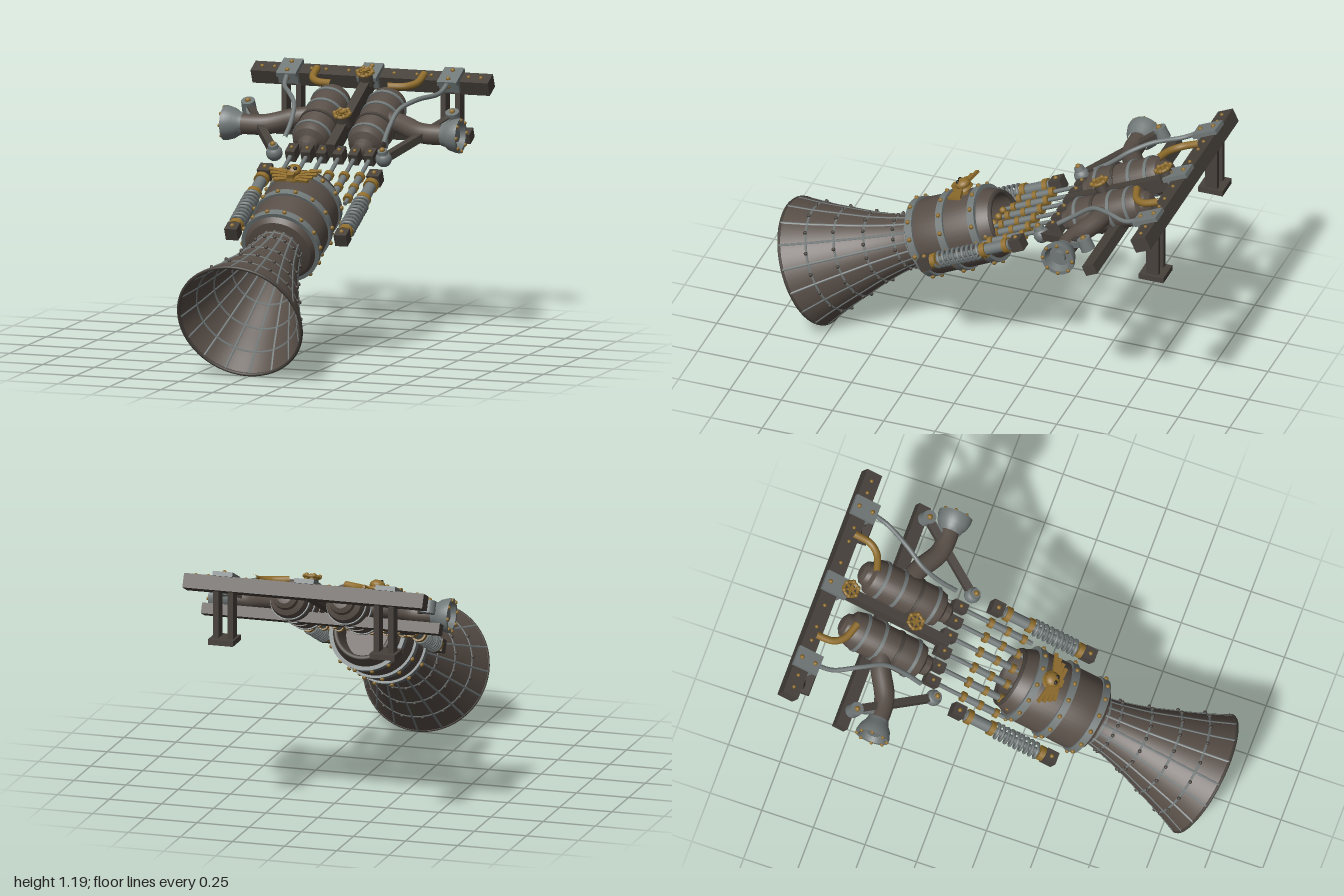
import * as THREE from 'three';
import { mergeGeometries, toCreasedNormals } from 'three/addons/utils/BufferGeometryUtils.js';

const paint = (name, color) => {
  const m = new THREE.MeshStandardMaterial({ color });
  m.name = name;
  return m;
};
const V = (x, y, z) => new THREE.Vector3(x, y, z);

export function createModel() {
  const hull = paint('hull brown', 0x584e47);
  const frame = paint('frame dark', 0x47413b);
  const steel = paint('steel', 0x717878);
  const gold = paint('brass', 0x8f6d2c);
  const black = paint('socket black', 0x24201d);

  const model = new THREE.Group();
  model.name = 'rocketEngine';
  // tilted frame: +z runs out of the bell along the engine axis, origin at the bell mouth
  const engine = new THREE.Group();
  engine.name = 'tiltedEngine';
  engine.position.set(0, 0.28, 0.875);
  engine.rotation.x = 0.433;
  model.add(engine);

  const add = (name, geo, mat, x = 0, y = 0, z = 0, parent = engine) => {
    const m = new THREE.Mesh(geo, mat);
    m.name = name;
    m.position.set(x, y, z);
    parent.add(m);
    return m;
  };
  const box = (name, mat, w, h, d, x, y, z, parent) => add(name, new THREE.BoxGeometry(w, h, d), mat, x, y, z, parent);
  // turned part along z from [radius, z] points
  const turned = (pts, seg = 48) => toCreasedNormals(
    new THREE.LatheGeometry(pts.map(p => new THREE.Vector2(...p)), seg).rotateX(Math.PI / 2), 0.5);
  const band = (name, mat, r, z0, z1, x = 0, y = 0, inner = r * 0.85) =>
    add(name, turned([[inner, z0], [r, z0], [r, z1], [inner, z1]]), mat, x, y, 0);
  const rod = (name, mat, r, x, y, z0, z1, seg = 16) =>
    add(name, new THREE.CylinderGeometry(r, r, z1 - z0, seg).rotateX(Math.PI / 2), mat, x, y, (z0 + z1) / 2);
  const upright = (name, mat, r0, r1, h, x, y, z) =>
    add(name, new THREE.CylinderGeometry(r1, r0, h, 20), mat, x, y, z);
  const pipe = (name, mat, r, pts, parent) =>
    add(name, new THREE.TubeGeometry(new THREE.CatmullRomCurve3(pts), 40, r, 12), mat, 0, 0, 0, parent);
  const beamBetween = (name, mat, a, b, w, h) => {
    const m = box(name, mat, w, h, a.distanceTo(b), 0, 0, 0);
    m.position.copy(a).lerp(b, 0.5);
    m.quaternion.setFromUnitVectors(V(0, 0, 1), b.clone().sub(a).normalize());
    return m;
  };
  const bolts = (name, mat, r, points) => add(name, mergeGeometries(
    points.map(p => new THREE.SphereGeometry(r, 8, 6).translate(p.x, p.y, p.z))), mat);
  const around = (n, r, z, x = 0, y = 0) => Array.from({ length: n }, (_, i) => {
    const a = (i + 0.5) / n * Math.PI * 2;
    return V(x + r * Math.sin(a), y + r * Math.cos(a), z);
  });

  // exhaust bell with wall thickness and a closed throat
  const flare = new THREE.CatmullRomCurve3([
    V(0, 0.106, -0.62), V(0, 0.112, -0.55), V(0, 0.15, -0.39), V(0, 0.198, -0.25), V(0, 0.245, -0.12), V(0, 0.295, 0)]);
  const wall = flare.getPoints(24);
  add('exhaustBell', turned([
    ...wall.map(p => [p.y + 0.004, p.z]),
    ...wall.slice().reverse().map(p => [p.y - 0.004, p.z]),
    [0.1, -0.72], [0, -0.72]], 64), hull);
  add('throatRing', new THREE.TorusGeometry(0.104, 0.012, 10, 48), steel, 0, 0, -0.56);
  add('bellRim', new THREE.TorusGeometry(0.294, 0.008, 8, 64), frame);
  const rib = new THREE.TubeGeometry(flare, 24, 0.0075, 6);
  for (let i = 0; i < 16; i++) add('bellRib', rib, steel).rotation.z = i / 16 * Math.PI * 2;
  for (const t of [0.26, 0.43, 0.62, 0.81]) {
    const p = flare.getPoint(t);
    add('bellHoop', new THREE.TorusGeometry(p.y, 0.0075, 6, 64), steel, 0, 0, p.z);
    bolts('bellBolts', frame, 0.009, around(16, p.y + 0.008, p.z));
  }

  // combustion barrel, open at the rear
  add('barrel', turned([[0, -0.9], [0.122, -0.9], [0.122, -1.03], [0.142, -1.03], [0.158, -0.99], [0.176, -0.93],
    [0.178, -0.66], [0.17, -0.61], [0.15, -0.585], [0.1, -0.575]]), hull);
  for (const [z, r] of [[-0.625, 0.186], [-0.79, 0.189], [-0.955, 0.182]]) {
    band('barrelBand', steel, r, z - 0.018, z + 0.018);
    bolts('barrelBolts', gold, 0.011, around(14, r + 0.002, z));
  }
  add('rearLip', new THREE.TorusGeometry(0.133, 0.012, 8, 48), frame, 0, 0, -1.03);

  // winged ornament on the barrel
  upright('ornamentStem', gold, 0.02, 0.02, 0.05, 0, 0.195, -0.9);
  add('ornamentPlate', new THREE.CylinderGeometry(0.045, 0.05, 0.012, 24), gold, 0, 0.208, -0.9);
  add('ornamentHead', new THREE.SphereGeometry(0.036, 20, 14).scale(1, 0.7, 1), gold, 0, 0.225, -0.91);
  box('ornamentJaw', gold, 0.034, 0.025, 0.03, 0, 0.222, -0.872);
  for (const s of [-1, 1]) {
    add('ornamentEye', new THREE.SphereGeometry(0.01, 10, 8), black, s * 0.014, 0.243, -0.898);
    for (let i = 0; i < 4; i++) {
      const f = box('ornamentFeather', gold, 0.1 - i * 0.014, 0.012, 0.017, s * (0.077 - i * 0.008), 0.212 - i * 0.003, -0.92 + i * 0.019);
      f.rotation.y = s * (0.25 - i * 0.12);
    }
  }

  // six feed rods from the barrel to the tanks
  for (const x of [-0.19, -0.115, -0.04, 0.04, 0.115, 0.19]) {
    box('rodBlock', frame, 0.045, 0.055, 0.07, x, 0, -1.38);
    bolts('rodBlockBolt', gold, 0.009, [V(x, 0.029, -1.38), V(x, 0, -1.343)]);
    rod('feedRod', steel, 0.01, x, 0, -1.36, -0.99);
    rod('feedSleeve', steel, 0.017, x, 0, -1.2, -1.05);
    for (const [z, r] of [[-1.21, 0.024], [-1.12, 0.022], [-1.035, 0.022]]) rod('rodCollar', gold, r, x, 0, z - 0.011, z + 0.011);
    add('rodEnd', new THREE.SphereGeometry(0.017, 12, 8), gold, x * 0.75, 0.01, -0.99);
  }

  // central spine and its valve wheels
  box('spine', frame, 0.045, 0.07, 0.6, 0, 0.02, -1.68);
  for (const z of [-1.925, -1.58]) {
    upright('valveBody', frame, 0.036, 0.03, 0.05, 0, 0.055, z);
    upright('valveCap', gold, 0.012, 0.012, 0.035, 0, 0.088, z);
    add('valveWheel', new THREE.TorusGeometry(0.034, 0.008, 8, 28).rotateX(Math.PI / 2), gold, 0, 0.092, z);
    for (let i = 0; i < 3; i++) box('valveSpoke', gold, 0.066, 0.008, 0.009, 0, 0.092, z).rotation.y = i * Math.PI / 3;
    bolts('valveKnobs', gold, 0.011, Array.from({ length: 6 }, (_, i) =>
      V(0.036 * Math.cos(i * Math.PI / 3), 0.095, z + 0.036 * Math.sin(i * Math.PI / 3))));
  }

  // mounting beam and lower crossbar
  box('mountingBeam', frame, 1.15, 0.068, 0.079, 0, 0.009, -2);
  bolts('beamBolts', gold, 0.009, [-0.53, -0.47, -0.29, -0.22, -0.11, 0.11, 0.22, 0.29, 0.47, 0.53].map(x => V(x, 0.044, -2)));
  box('crossbar', frame, 1.14, 0.05, 0.06, 0, -0.065, -1.69);
  for (const x of [-0.39, 0, 0.39]) {
    box('clampTop', steel, 0.095, 0.022, 0.125, x, 0.052, -1.985);
    box('clampFront', steel, 0.095, 0.06, 0.02, x, 0.025, -1.951);
    bolts('clampBolts', gold, 0.011, [V(x, 0.064, -2.02), V(x, 0.064, -1.95), V(x, 0.03, -1.939)]);
  }

  for (const s of [-1, 1]) {
    // fuel tank
    const tx = s * 0.135;
    add('tank', turned([[0, -1.885], [0.035, -1.88], [0.055, -1.865], [0.06, -1.845], [0.082, -1.83], [0.09, -1.8],
      [0.09, -1.5], [0.08, -1.465], [0.05, -1.45], [0.046, -1.42], [0.025, -1.405], [0, -1.4]], 36), hull, tx, 0, 0);
    for (const z of [-1.78, -1.69, -1.6, -1.51]) band('tankBand', z === -1.6 ? frame : steel, 0.095, z - 0.008, z + 0.008, tx, 0);

    // side arm with flared socket
    pipe('sideArm', hull, 0.047, [V(s * 0.16, 0.016, -1.66), V(s * 0.25, 0.018, -1.635), V(s * 0.38, 0.02, -1.565), V(s * 0.53, 0.022, -1.558)]);
    const cup = add('armSocket', turned([[0.05, -0.09], [0.056, -0.07], [0.07, -0.05], [0.08, -0.015], [0.08, 0],
      [0.064, 0], [0.05, -0.035], [0.03, -0.035], [0.03, -0.015], [0, -0.015]], 32), steel, s * 0.572, 0.022, -1.558);
    cup.rotation.y = s * Math.PI / 2;
    bolts('socketBolts', gold, 0.009, around(8, 0.072, 0).map(p => V(s * 0.573, 0.022 + p.y, -1.558 + p.x)));

    // strut with ball joint and pivot
    const ball = V(s * 0.265, 0.016, -1.346), pivot = V(s * 0.495, 0.035, -1.685);
    beamBetween('strut', frame, ball, pivot, 0.036, 0.036);
    add('ballJoint', new THREE.SphereGeometry(0.038, 20, 14), steel, ball.x, ball.y, ball.z);
    upright('ballCap', steel, 0.026, 0.022, 0.025, ball.x, ball.y + 0.034, ball.z);
    upright('pivot', steel, 0.034, 0.032, 0.06, pivot.x, pivot.y, pivot.z);
    bolts('jointBolts', gold, 0.014, [V(ball.x, ball.y + 0.048, ball.z), V(pivot.x, pivot.y + 0.03, pivot.z)]);
    beamBetween('pivotLink', steel, pivot, V(s * 0.45, 0.03, -1.57), 0.028, 0.028);

    // spring damper beside the barrel
    const dx = s * 0.265;
    box('damperRearBlock', frame, 0.06, 0.06, 0.06, dx, 0, -1.21);
    box('damperFrontBlock', frame, 0.06, 0.06, 0.06, dx, 0, -0.72);
    rod('damperCore', steel, 0.015, dx, 0, -1.2, -0.73);
    rod('damperTube', steel, 0.027, dx, 0, -1.17, -1.02);
    for (const z of [-1.15, -1.03, -0.765]) rod('damperCollar', gold, 0.035, dx, 0, z - 0.013, z + 0.013, 20);
    bolts('damperBolts', gold, 0.011, [V(dx, 0.03, -1.21), V(dx, 0.03, -0.72)]);
    const coil = Array.from({ length: 109 }, (_, i) => {
      const a = i / 12 * Math.PI * 2;
      return V(dx + 0.034 * Math.cos(a), 0.034 * Math.sin(a), -1.01 + 0.235 * i / 108);
    });
    add('damperSpring', new THREE.TubeGeometry(new THREE.CatmullRomCurve3(coil), 216, 0.0075, 6), steel);

    // steel hose and brass feed pipe
    pipe('hose', steel, 0.011, [V(s * 0.39, 1.14, -0.87), V(s * 0.375, 1.1, -0.79), V(s * 0.31, 1.085, -0.67),
      V(s * 0.255, 1.05, -0.58), V(s * 0.238, 0.98, -0.49), V(s * 0.24, 0.92, -0.41)], model);
    pipe('feedPipe', gold, 0.017, [V(s * 0.26, 1.165, -0.91), V(s * 0.252, 1.135, -0.83), V(s * 0.215, 1.125, -0.785),
      V(s * 0.135, 1.125, -0.755)], model);

    // vertical leg under the beam
    for (const x of [0.35, 0.42]) box('legPost', frame, 0.025, 0.23, 0.06, s * x, 0.985, -0.94, model);
    box('legFoot', frame, 0.12, 0.026, 0.12, s * 0.388, 0.868, -0.94, model);
  }
  return model;
}
